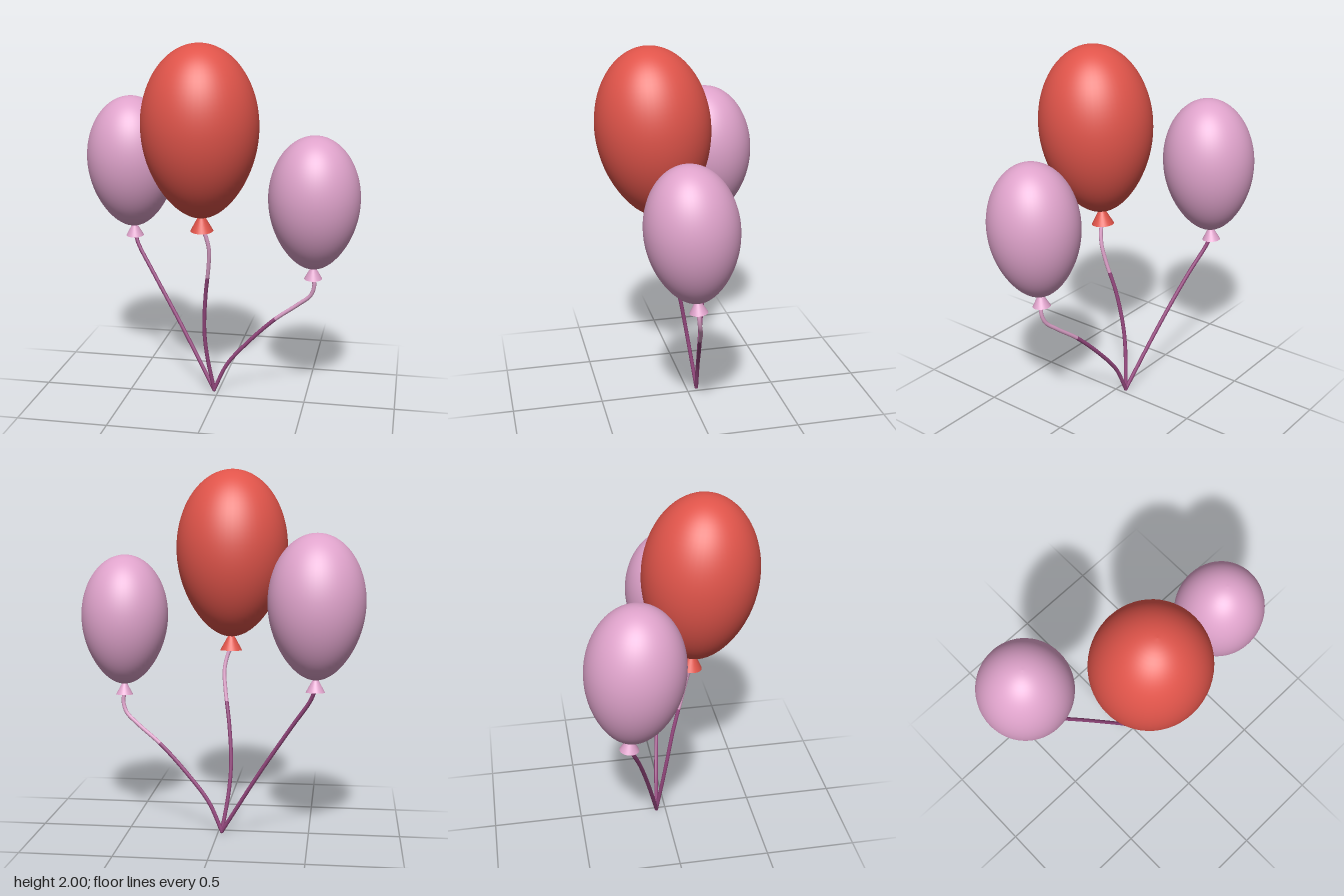
import * as THREE from 'three';

const mat = (name, color, side = THREE.FrontSide) => {
  const m = new THREE.MeshStandardMaterial({ color, side });
  m.name = name;
  return m;
};

// Egg-shaped outline for radius 1: rounder top, longer tapered bottom
function balloonGeometry() {
  const pts = [];
  const n = 40;
  for (let i = 0; i <= n; i++) {
    const a = -Math.PI / 2 + (Math.PI * i) / n;
    const s = Math.sin(a);
    const r = Math.cos(a) * (s < 0 ? 1 - 0.13 * s * s : 1);
    pts.push(new THREE.Vector2(Math.max(r, 0), s * (s < 0 ? 1.6 : 1.39)));
  }
  return new THREE.LatheGeometry(pts, 56);
}

// Flared knot closed underneath
function knotGeometry() {
  const g = new THREE.CylinderGeometry(0.035, 0.2, 0.3, 32);
  g.translate(0, -1.7, 0);
  return g;
}

export function createModel() {
  const red = mat('balloonRed', 0xe0544a);
  const pink = mat('balloonPink', 0xdfa3cb);
  const mauve = mat('stringMauve', 0x96487f);

  const model = new THREE.Group();
  model.name = 'balloonBunch';
  const body = balloonGeometry();
  const knot = knotGeometry();
  const start = [-0.023, 0.012, -0.055];

  // centre, radius, string path, and share of the string that is mauve
  const balloons = [
    {
      name: 'middle', skin: red, centre: [-0.053, 1.57, 0.178], size: 0.309, split: 0.7,
      path: [[-0.058, 0.23, -0.025], [-0.068, 0.39, 0.0], [-0.053, 0.6, 0.04],
        [-0.026, 0.785, 0.09], [-0.018, 0.89, 0.115], [-0.033, 0.97, 0.13], [-0.053, 1.02, 0.135]],
    },
    {
      name: 'right', skin: pink, centre: [-0.535, 1.315, -0.239], size: 0.2535, split: 1,
      path: [[-0.235, 0.37, -0.135], [-0.41, 0.645, -0.205], [-0.51, 0.8, -0.255], [-0.533, 0.86, -0.274]],
    },
    {
      name: 'left', skin: pink, centre: [0.542, 1.194, 0.105], size: 0.2415, split: 0.62,
      path: [[0.053, 0.175, -0.043], [0.17, 0.32, -0.022], [0.327, 0.48, 0.01], [0.46, 0.586, 0.037],
        [0.53, 0.65, 0.058], [0.549, 0.71, 0.068], [0.542, 0.76, 0.07]],
    },
  ];

  for (const b of balloons) {
    // Balloon skin and knot lean slightly forward
    const balloon = new THREE.Group();
    balloon.name = b.name + 'Balloon';
    const skin = new THREE.Mesh(body, b.skin);
    skin.name = b.name + 'Skin';
    const tie = new THREE.Mesh(knot, b.skin);
    tie.name = b.name + 'Knot';
    balloon.add(skin, tie);
    balloon.position.set(...b.centre);
    balloon.scale.setScalar(b.size);
    balloon.rotation.x = 0.08;
    model.add(balloon);

    // Two-tone string: mauve below, pink towards the knot
    const curve = new THREE.CatmullRomCurve3([start, ...b.path].map((p) => new THREE.Vector3(...p)));
    const steps = 60;
    const sides = 10;
    const g = new THREE.TubeGeometry(curve, steps, 0.011, sides);
    const cut = Math.round(steps * b.split) * sides * 6;
    g.addGroup(0, cut, 0);
    if (cut < g.index.count) g.addGroup(cut, g.index.count - cut, 1);
    const string = new THREE.Mesh(g, [mauve, pink]);
    string.name = b.name + 'String';
    model.add(string);
  }

  // Small bead closing the gathered string ends
  const end = new THREE.Mesh(new THREE.SphereGeometry(0.012, 12, 8), mauve);
  end.name = 'stringEnd';
  end.position.set(...start);
  model.add(end);

  return model;
}
